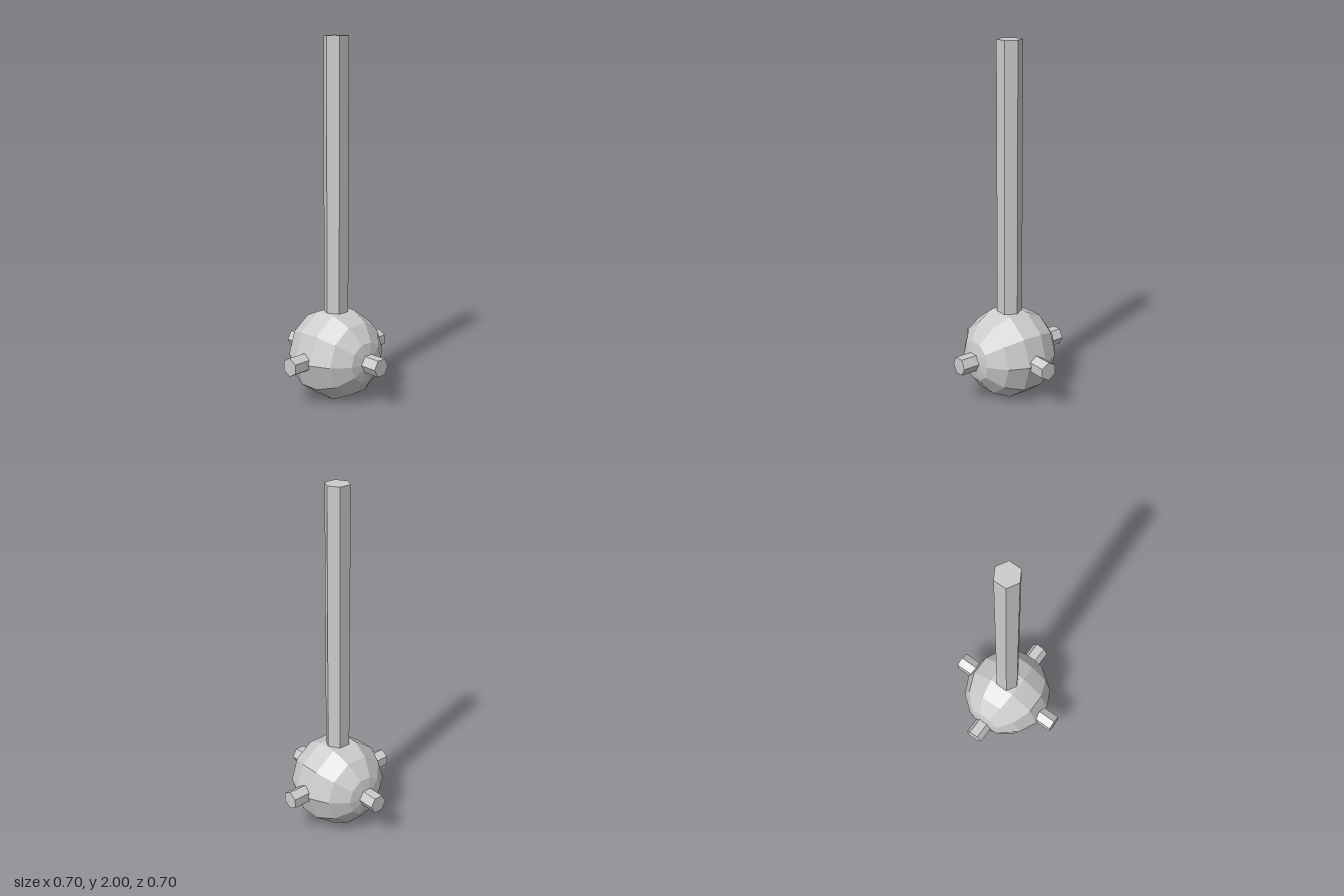
import * as THREE from 'three';

const CENTER_Y = 0.2444;

export function createModel() {
  const model = new THREE.Group();
  model.name = 'spikedMace';
  const material = new THREE.MeshStandardMaterial({ color: 0xcccccc, flatShading: true });

  function add(name, geometry, parent = model) {
    const mesh = new THREE.Mesh(geometry, material);
    mesh.name = name;
    parent.add(mesh);
    return mesh;
  }

  // Upright hexagonal bar with corners on the x axis
  function hexBar(radius, from, to) {
    return new THREE.CylinderGeometry(radius, radius, to - from, 6)
      .rotateY(Math.PI / 6)
      .translate(0, (from + to) / 2, 0);
  }

  // Faceted ball head, poles facing front and back
  const head = add('head', new THREE.SphereGeometry(0.2636, 10, 7).rotateX(Math.PI / 2));
  head.position.y = CENTER_Y;

  // Long handle rising from the head
  add('handle', hexBar(0.07, CENTER_Y, 2));

  // Four short hexagonal spikes around the head
  const spikes = new THREE.Group();
  spikes.name = 'spikes';
  spikes.position.y = CENTER_Y;
  model.add(spikes);
  for (const side of [1, -1]) {
    const turn = side * Math.PI / 2;
    add(side > 0 ? 'frontSpike' : 'backSpike', hexBar(0.053, 0.1, 0.35).rotateX(turn), spikes);
    add(side > 0 ? 'leftSpike' : 'rightSpike', hexBar(0.053, 0.1, 0.35).rotateZ(-turn), spikes);
  }

  return model;
}
